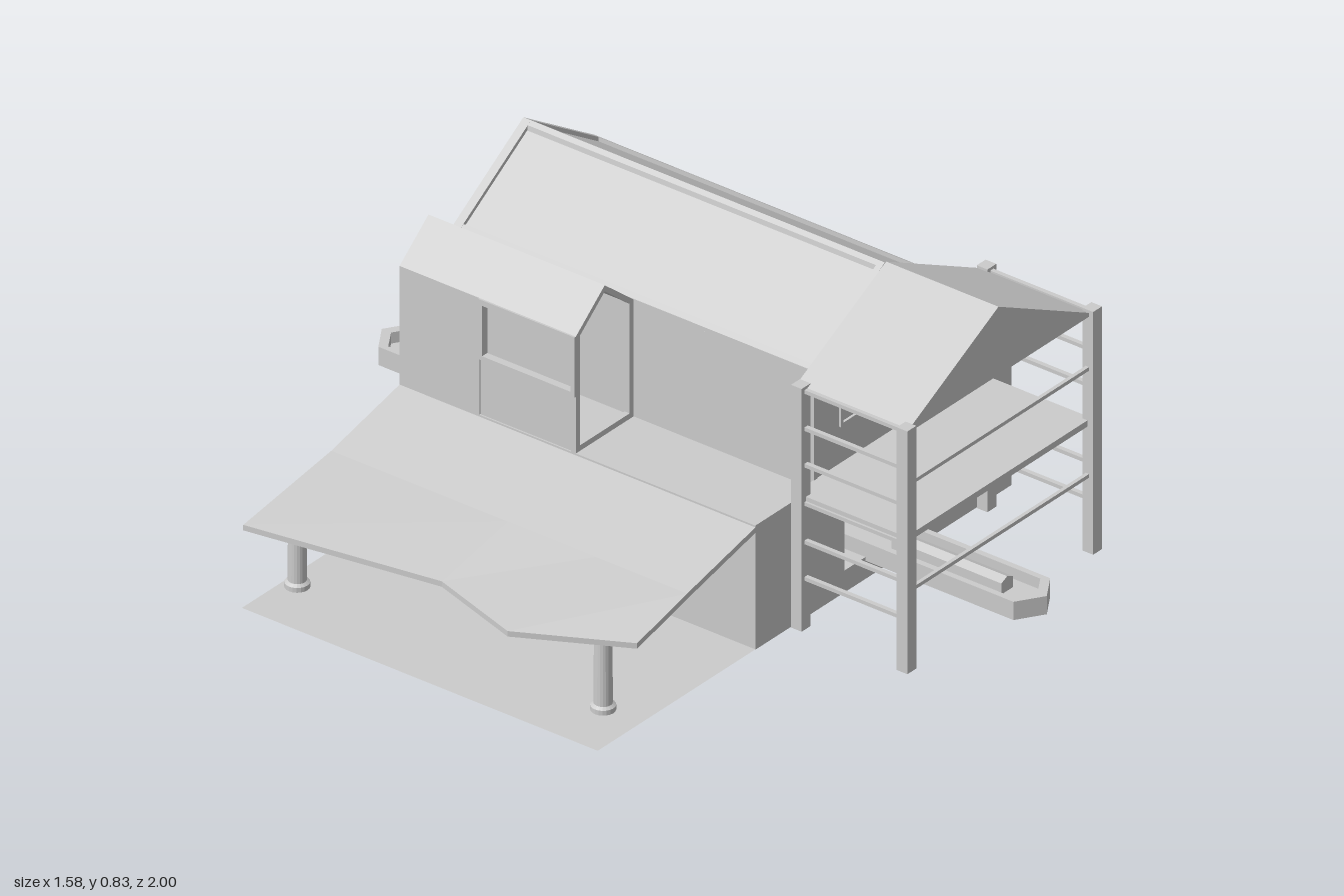
import * as THREE from 'three';

export function createModel() {
  const model = new THREE.Group();
  const mat = new THREE.MeshStandardMaterial({ color: 0xcccccc, flatShading: true, side: THREE.DoubleSide });

  const add = (name, geo, parent = model) => {
    const mesh = new THREE.Mesh(geo, mat);
    mesh.name = name;
    parent.add(mesh);
    return mesh;
  };
  const group = (name) => {
    const g = new THREE.Group();
    g.name = name;
    model.add(g);
    return g;
  };
  // Box given by its limits
  const box = (name, x0, x1, y0, y1, z0, z1, parent) =>
    add(name, new THREE.BoxGeometry(x1 - x0, y1 - y0, z1 - z0), parent)
      .position.set((x0 + x1) / 2, (y0 + y1) / 2, (z0 + z1) / 2);
  const vecs = (pts) => pts.map(([x, y]) => new THREE.Vector2(x, y));
  // Profile in x, y extruded from z0 to z1
  const prism = (pts, z0, z1, hole) => {
    const shape = new THREE.Shape(vecs(pts));
    if (hole) shape.holes.push(new THREE.Path(vecs(hole)));
    return new THREE.ExtrudeGeometry(shape, { depth: z1 - z0, bevelEnabled: false }).translate(0, 0, z0);
  };
  const rect = (x0, x1, y0, y1) => [[x0, y0], [x1, y0], [x1, y1], [x0, y1]];
  const gable = (x0, x1, y0, eave, ridge) =>
    [[x0, y0], [x1, y0], [x1, eave], [(x0 + x1) / 2, ridge], [x0, eave]];

  // Lower storey with a channel running through it
  add('lowerStorey', prism(rect(-0.19, 0.785, 0, 0.34), -0.56, 0.51, rect(0.15, 0.445, 0.06, 0.28)));
  add('groundPlate', new THREE.PlaneGeometry(0.6, 1.07).rotateX(-Math.PI / 2)).position.set(-0.49, 0.001, -0.025);

  // Upper house: body, raised end frames, ridge and eave strips
  const house = group('upperHouse');
  add('houseBody', prism(gable(0.03, 0.57, 0.34, 0.65, 0.823), -0.56, 0.5), house);
  const outer = gable(0.03, 0.57, 0.34, 0.662, 0.835);
  const inner = gable(0.043, 0.557, 0.352, 0.652, 0.818);
  add('backFrame', prism(outer, -0.575, -0.552, inner), house);
  add('frontFrame', prism(outer, 0.495, 0.512, inner), house);
  add('ridgeStrip', prism([[0.285, 0.81], [0.315, 0.81], [0.312, 0.827], [0.3, 0.835], [0.288, 0.827]], -0.56, 0.5), house);
  for (const s of [-1, 1]) {
    const e = [[0.27, 0.64], [0.27, 0.662], [0.257, 0.67], [0.257, 0.64]].map(([x, y]) => [0.3 + s * x, y]);
    add('eaveStrip', prism(e, -0.56, 0.5), house);
  }
  add('frontWindowFrame', prism(gable(0.14, 0.46, 0.455, 0.6, 0.7), 0.495, 0.507,
    gable(0.15, 0.45, 0.464, 0.595, 0.69)), house);

  // Side wing: open front, window in its outer wall
  const wing = group('sideWing');
  const roofLine = [[-0.19, 0.66], [-0.08, 0.75], [0.03, 0.66], [0.03, 0.645], [-0.08, 0.733], [-0.19, 0.645]];
  add('wingRoof', prism(roofLine, -0.56, -0.03), wing);
  add('wingBackWall', prism(gable(-0.19, 0.03, 0.34, 0.66, 0.75), -0.56, -0.545), wing);
  add('wingFrontFrame', prism(gable(-0.19, 0.03, 0.34, 0.66, 0.75), -0.045, -0.03,
    gable(-0.175, 0.015, 0.355, 0.655, 0.733)), wing);
  box('wingSideWall', -0.19, -0.178, 0.34, 0.655, -0.56, -0.32, wing);
  box('wingSillWall', -0.186, -0.176, 0.34, 0.5, -0.32, -0.03, wing);
  box('windowSill', -0.195, -0.175, 0.495, 0.507, -0.32, -0.03, wing);
  box('windowHead', -0.195, -0.175, 0.645, 0.66, -0.32, -0.03, wing);
  for (const z of [-0.32, -0.042]) box('windowJamb', -0.195, -0.175, 0.5, 0.655, z, z + 0.012, wing);

  // Porch: posts, ladder rungs, floor, rails and gable roof
  const porch = group('porch');
  for (const x of [-0.057, 0.65]) {
    for (const z of [0.512, 0.83]) box('porchPost', x, x + 0.034, 0, 0.665, z, z + 0.032, porch);
    for (const y of [0.14, 0.24, 0.345, 0.45, 0.55, 0.652])
      box('sideRung', x + 0.011, x + 0.023, y - 0.005, y + 0.005, 0.54, 0.835, porch);
  }
  box('porchFloor', -0.04, 0.665, 0.345, 0.362, 0.51, 0.845, porch);
  for (const y of [0.212, 0.505]) box('frontRail', -0.03, 0.66, y - 0.005, y + 0.005, 0.84, 0.85, porch);
  add('porchRoof', prism([[-0.043, 0.648], [0.66, 0.648], [0.66, 0.653], [0.305, 0.835], [-0.043, 0.653]], 0.512, 0.85), porch);

  // Long pointed boat: hull floor, rim wall and deck strip
  const boat = group('boat');
  const hull = (w, l, taper) => [[-w, -l + taper], [0, -l], [w, -l + taper], [w, l - taper], [0, l], [-w, l - taper]];
  const layer = (pts, y0, y1, hole) =>
    prism(pts, 0, y1 - y0, hole).rotateX(Math.PI / 2).translate(0.299, y1, 0);
  add('hullFloor', layer(hull(0.07, 1, 0.045), 0.05, 0.07), boat);
  add('hullRim', layer(hull(0.07, 1, 0.045), 0.07, 0.1, hull(0.054, 0.972, 0.034)), boat);
  add('deckStrip', prism([[0.278, 0.07], [0.322, 0.07], [0.322, 0.1], [0.3, 0.11], [0.278, 0.1]], 0.55, 0.88), boat);

  // Folded awning: rows of points from the wall to the ragged outer edge
  const awning = group('awning');
  const rows = [[-0.56, -0.785], [-0.03, -0.7], [0.235, -0.785], [0.51, -0.64]].map(([z, x]) =>
    [[-0.19, 0.335, z], [-0.45, 0.274, z], [x, 0.226, z]]);
  const t = 0.015, pos = [];
  const tri = (a, b, c) => pos.push(...a, ...b, ...c);
  const low = ([x, y, z]) => [x, y - t, z];
  const quad = (a, b, c, d) => { tri(a, b, c); tri(a, c, d); };
  for (let i = 0; i < 3; i++) {
    const p = rows[i], q = rows[i + 1];
    for (let j = 0; j < 2; j++) {
      quad(p[j + 1], q[j + 1], q[j], p[j]);
      quad(low(p[j]), low(q[j]), low(q[j + 1]), low(p[j + 1]));
    }
    quad(p[2], low(p[2]), low(q[2]), q[2]);
  }
  for (let j = 0; j < 2; j++) {
    const a = rows[0], b = rows[3];
    quad(a[j], low(a[j]), low(a[j + 1]), a[j + 1]);
    quad(b[j + 1], low(b[j + 1]), low(b[j]), b[j]);
  }
  const sheet = new THREE.BufferGeometry();
  sheet.setAttribute('position', new THREE.Float32BufferAttribute(pos, 3));
  sheet.computeVertexNormals();
  add('awningSheet', sheet, awning);

  // Awning columns with base and capital
  const profile = vecs([[0, 0], [0.031, 0], [0.031, 0.014], [0.023, 0.02], [0.022, 0.195], [0.027, 0.2], [0.027, 0.217], [0, 0.217]]);
  for (const z of [-0.52, 0.4])
    add('awningColumn', new THREE.LatheGeometry(profile, 20), awning).position.set(-0.63, 0, z);

  return model;
}
